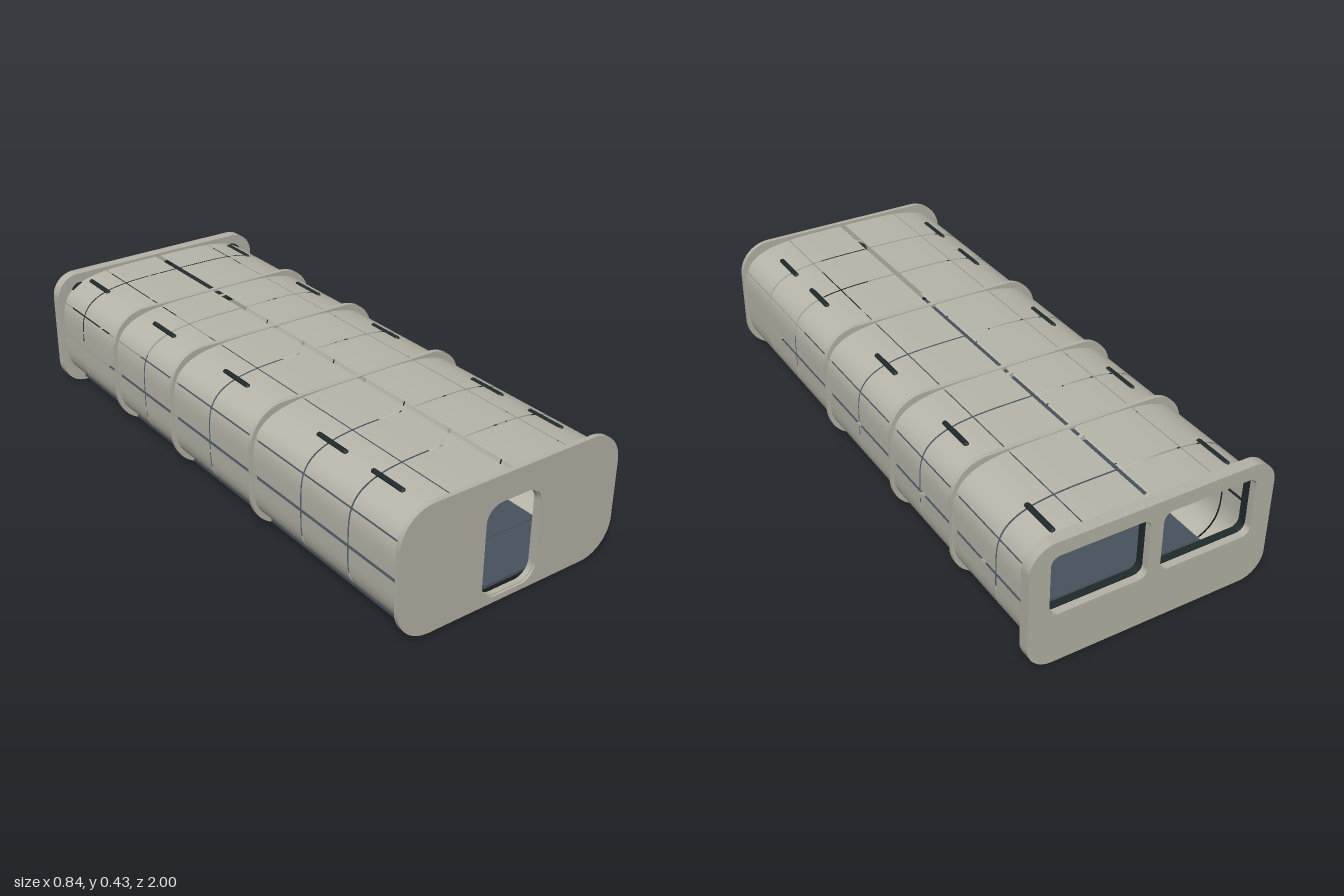
import * as THREE from 'three';

const mat = (name, color, side = THREE.FrontSide) => {
  const m = new THREE.MeshStandardMaterial({ color, side });
  m.name = name;
  return m;
};

// Rounded rectangle drawn on a Shape or Path
function roundRect(p, x0, y0, x1, y1, r) {
  p.moveTo(x0 + r, y0);
  p.lineTo(x1 - r, y0);
  p.absarc(x1 - r, y0 + r, r, -Math.PI / 2, 0);
  p.lineTo(x1, y1 - r);
  p.absarc(x1 - r, y1 - r, r, 0, Math.PI / 2);
  p.lineTo(x0 + r, y1);
  p.absarc(x0 + r, y1 - r, r, Math.PI / 2, Math.PI);
  p.lineTo(x0, y0 + r);
  p.absarc(x0 + r, y0 + r, r, Math.PI, Math.PI * 1.5);
  return p;
}

// Hull cross-section: a squarish ellipse
const A = 0.405, B = 0.207, CY = 0.215;
const hullPoint = (t, k = 1) => {
  const c = Math.cos(t), s = Math.sin(t);
  return new THREE.Vector2(
    k * A * Math.sign(c) * Math.sqrt(Math.abs(c)),
    CY + k * B * Math.sign(s) * Math.sqrt(Math.abs(s)));
};
const angleAtY = (y) => { const q = (y - CY) / B; return Math.asin(Math.sign(q) * q * q); };
const angleAtX = (x) => Math.acos((x / A) ** 2);

// Curved panel between two angles and two z positions
function panelGeometry(t0, t1, zFront, zBack, mirror) {
  const n = 12, pts = [];
  for (let i = 0; i <= n; i++) {
    const p = hullPoint(t0 + (t1 - t0) * i / n);
    if (mirror) p.x *= -1;
    pts.push(p);
  }
  if (mirror) pts.reverse();
  const pos = [], idx = [];
  pts.forEach((p) => pos.push(p.x, p.y, zBack, p.x, p.y, zFront));
  for (let i = 0; i < n; i++) {
    const a = i * 2;
    idx.push(a, a + 2, a + 1, a + 2, a + 3, a + 1);
  }
  const g = new THREE.BufferGeometry();
  g.setAttribute('position', new THREE.Float32BufferAttribute(pos, 3));
  g.setIndex(idx);
  g.computeVertexNormals();
  return g;
}

export function createModel() {
  const root = new THREE.Group();
  root.name = 'corridor';
  const panelMat = mat('panelGrey', 0xb8b6a9, THREE.DoubleSide);
  const wallMat = mat('wallGrey', 0xb5b3a6);
  const floorMat = mat('floorBlueGrey', 0x47525d);
  const darkMat = mat('darkTrim', 0x1f2a2b);

  const add = (name, geo, material, parent = root) => {
    const m = new THREE.Mesh(geo, material);
    m.name = name;
    parent.add(m);
    return m;
  };
  const slab = (name, shape, z, depth, material) => {
    const g = new THREE.ExtrudeGeometry(shape, { depth, bevelEnabled: false, curveSegments: 12 });
    const m = add(name, g, material);
    m.position.z = z;
    return m;
  };

  // Hull panels with open seams, and floor plates
  const seams = [0.985, 0.767, 0.541, 0.285, 0.046, -0.18, -0.367, -0.562, -0.808, -0.96];
  const bands = [
    [angleAtY(0.035), angleAtY(0.205)],
    [angleAtY(0.216), angleAtY(0.328)],
    [angleAtY(0.333), angleAtX(0.222)],
    [angleAtX(0.218), angleAtX(0.01)],
  ];
  const hull = new THREE.Group();
  hull.name = 'hullPanels';
  const floor = new THREE.Group();
  floor.name = 'floor';
  root.add(hull, floor);
  for (let i = 0; i < seams.length - 1; i++) {
    const zf = seams[i] - 0.003, zb = seams[i + 1] + 0.003;
    for (const mirror of [false, true]) {
      bands.forEach(([t0, t1]) =>
        add('hullPanel', panelGeometry(t0, t1, zf, zb, mirror), panelMat, hull));
    }
    const f = Math.min(zf, 0.945) + 0.002, b = Math.max(zb, -0.955) - 0.002;
    const plate = add('floorPlate', new THREE.BoxGeometry(0.68, 0.01, f - b), floorMat, floor);
    plate.position.set(0, 0.02, (f + b) / 2);
  }

  // Ribs standing proud of the hull at its corners
  const ribShape = roundRect(new THREE.Shape(), -0.411, 0.005, 0.411, 0.425, 0.12);
  const inner = [];
  for (let i = 0; i < 72; i++) inner.push(hullPoint(i / 72 * Math.PI * 2, 0.97));
  ribShape.holes.push(new THREE.Path(inner));
  for (const z of [0.285, -0.18, -0.562]) slab('rib', ribShape, z - 0.008, 0.016, wallMat);

  // Front wall with doorway and a slim door rim
  const front = roundRect(new THREE.Shape(), -0.413, 0.006, 0.413, 0.432, 0.115);
  front.holes.push(roundRect(new THREE.Path(), -0.104, 0.025, 0.104, 0.343, 0.055));
  slab('frontWall', front, 0.984, 0.016, wallMat);
  const rim = roundRect(new THREE.Shape(), -0.108, 0.021, 0.108, 0.347, 0.058);
  rim.holes.push(roundRect(new THREE.Path(), -0.101, 0.028, 0.101, 0.34, 0.052));
  slab('doorRim', rim, 0.974, 0.018, wallMat);

  // Back wall with two windows and their dark frames
  const back = roundRect(new THREE.Shape(), -0.42, 0, 0.42, 0.43, 0.085);
  for (const s of [-1, 1]) {
    const xs = [s * 0.022, s * 0.352].sort((a, b) => a - b);
    back.holes.push(roundRect(new THREE.Path(), xs[0], 0.174, xs[1], 0.382, 0.03));
    const frame = roundRect(new THREE.Shape(), xs[0] - 0.014, 0.162, xs[1] + 0.014, 0.396, 0.035);
    frame.holes.push(roundRect(new THREE.Path(), xs[0] + 0.003, 0.177, xs[1] - 0.003, 0.379, 0.028));
    slab('windowFrame', frame, -0.975, 0.025, darkMat);
  }
  slab('backWall', back, -1, 0.04, wallMat);

  // Dark light fittings breaking through the upper shoulders
  for (const z of [-0.86, -0.4, 0.046, 0.55, 0.805]) {
    for (const s of [-1, 1]) {
      const lamp = add('lightFitting', new THREE.CapsuleGeometry(0.009, 0.125, 4, 10), darkMat);
      lamp.rotation.x = Math.PI / 2;
      lamp.position.set(s * 0.299, 0.403, z);
    }
  }
  return root;
}
